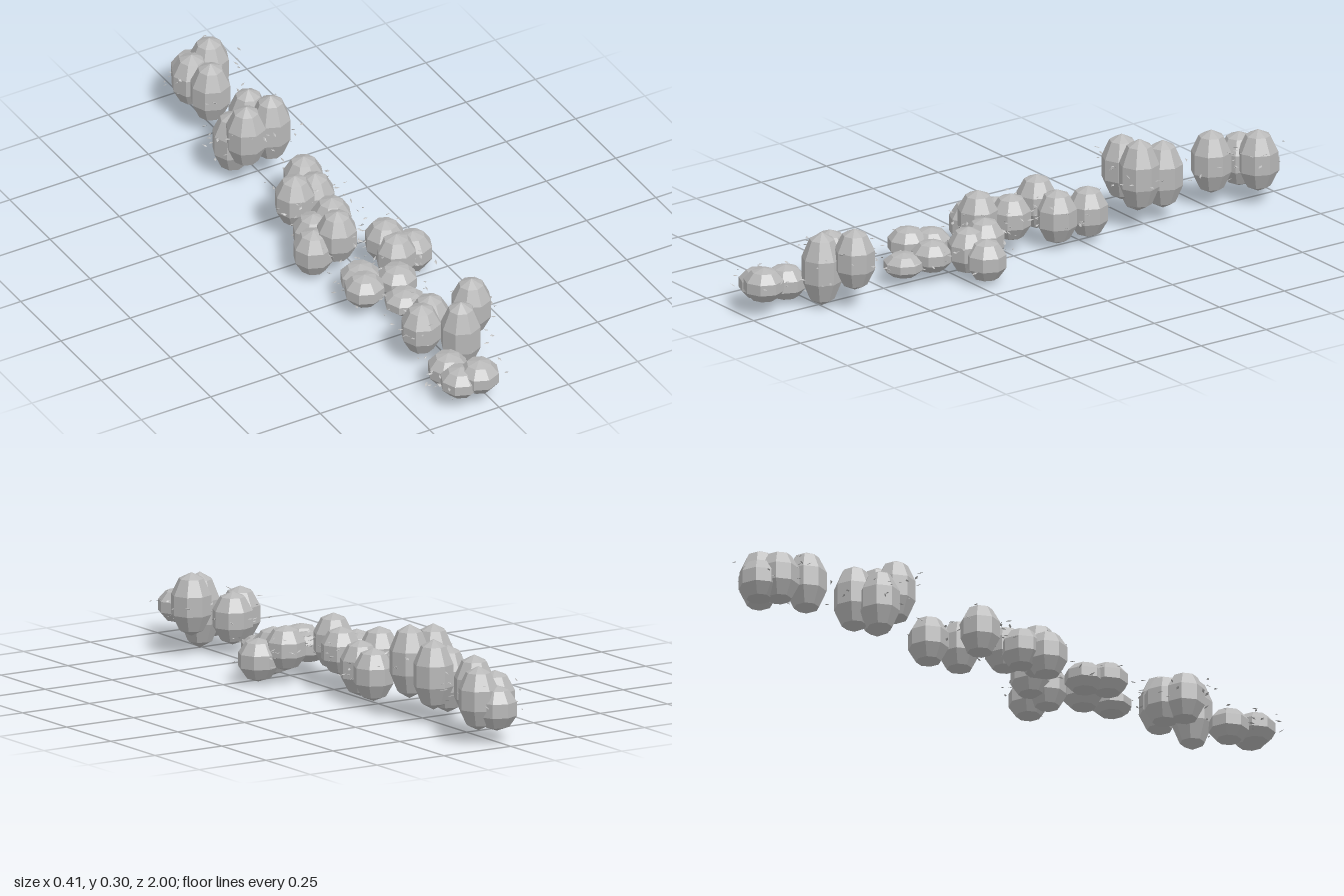
import * as THREE from 'three';
import { mergeGeometries } from 'three/addons/utils/BufferGeometryUtils.js';

// All lobes share one radius
const RADIUS = 0.064;

// Each clump lists its lobes as [x, z, bottom y, top y]
const CLUMPS = [
  [[0.055, -0.9, 0.04, 0.245], [-0.02, -0.88, 0.04, 0.22], [-0.015, -0.77, 0.04, 0.25], [0.01, -0.936, 0.04, 0.185]],
  [[0.025, -0.465, 0.06, 0.297], [-0.065, -0.462, 0.07, 0.288], [0.005, -0.57, 0.04, 0.265], [-0.075, -0.53, 0.015, 0.23]],
  [[0.028, -0.265, 0.015, 0.185], [0.008, -0.16, 0.01, 0.19], [-0.075, -0.142, 0.04, 0.22]],
  [[-0.022, -0.005, 0.045, 0.2], [-0.095, 0.005, 0.03, 0.17], [-0.134, 0.075, 0.005, 0.165], [-0.06, 0.095, 0.04, 0.222]],
  [[0.072, 0.165, 0.04, 0.185], [0.145, 0.21, 0.005, 0.145], [0.075, 0.23, 0.015, 0.17]],
  [[-0.075, 0.265, 0.03, 0.13], [-0.1, 0.335, 0.03, 0.14], [0.02, 0.33, 0.025, 0.13], [-0.005, 0.42, 0.02, 0.1]],
  [[-0.078, 0.65, 0.03, 0.205], [-0.025, 0.612, 0.03, 0.2], [0.088, 0.675, 0.06, 0.263], [0.01, 0.745, 0, 0.243]],
  [[-0.08, 0.82, 0.01, 0.125], [-0.09, 0.915, 0.03, 0.132], [-0.035, 0.936, 0.04, 0.152]],
];

// Small seeded generator for the loose leaves
function seeded(seed) {
  return () => {
    seed = (seed * 16807) % 2147483647;
    return seed / 2147483647;
  };
}

export function createModel() {
  const model = new THREE.Group();
  model.name = 'shrubRow';
  const grey = new THREE.MeshStandardMaterial({ color: 0xb8b8b8 });
  grey.name = 'foliageGrey';
  const random = seeded(4711);
  const between = (a, b) => a + (b - a) * random();

  // Faceted egg-shaped lobe of unit size; its five bands leave a straight belt
  const lobeShape = new THREE.SphereGeometry(1, 8, 5).toNonIndexed();
  lobeShape.computeVertexNormals();

  // Thin diamond leaf
  const leafShape = new THREE.OctahedronGeometry(1, 0);

  CLUMPS.forEach((lobes, c) => {
    const clump = new THREE.Group();
    clump.name = `shrub${c + 1}`;

    lobes.forEach(([x, z, low, high], i) => {
      const lobe = new THREE.Mesh(lobeShape, grey);
      lobe.name = `lobe${i + 1}`;
      lobe.position.set(x, (low + high) / 2, z);
      // The belt lies at 0.95 of the sphere's radius
      lobe.scale.set(RADIUS / 0.95, (high - low) / 2, RADIUS / 0.95);
      clump.add(lobe);
    });

    // Loose leaves hovering just outside the lobes
    const leaves = [];
    for (let tries = 0; leaves.length < 26 && tries < 800; tries++) {
      const [x, z, low, high] = lobes[Math.floor(random() * lobes.length)];
      const angle = between(0, Math.PI * 2);
      const reach = RADIUS * between(1.05, 1.6);
      const px = x + Math.cos(angle) * reach;
      const pz = z + Math.sin(angle) * reach;
      const py = low + (high - low) * between(0.35, 0.8);
      const buried = lobes.some((l) => Math.hypot(px - l[0], pz - l[1]) < RADIUS);
      if (buried || Math.abs(px) > 0.195 || Math.abs(pz) > 0.985) continue;
      const leaf = leafShape.clone();
      leaf.scale(between(0.007, 0.012), 0.0015, between(0.003, 0.005));
      leaf.rotateZ(between(-0.5, 0.5));
      leaf.rotateX(between(-0.5, 0.5));
      leaf.rotateY(between(0, Math.PI * 2));
      leaf.translate(px, py, pz);
      leaves.push(leaf);
    }
    const leafMesh = new THREE.Mesh(mergeGeometries(leaves), grey);
    leafMesh.name = 'looseLeaves';
    clump.add(leafMesh);
    model.add(clump);
  });

  return model;
}
